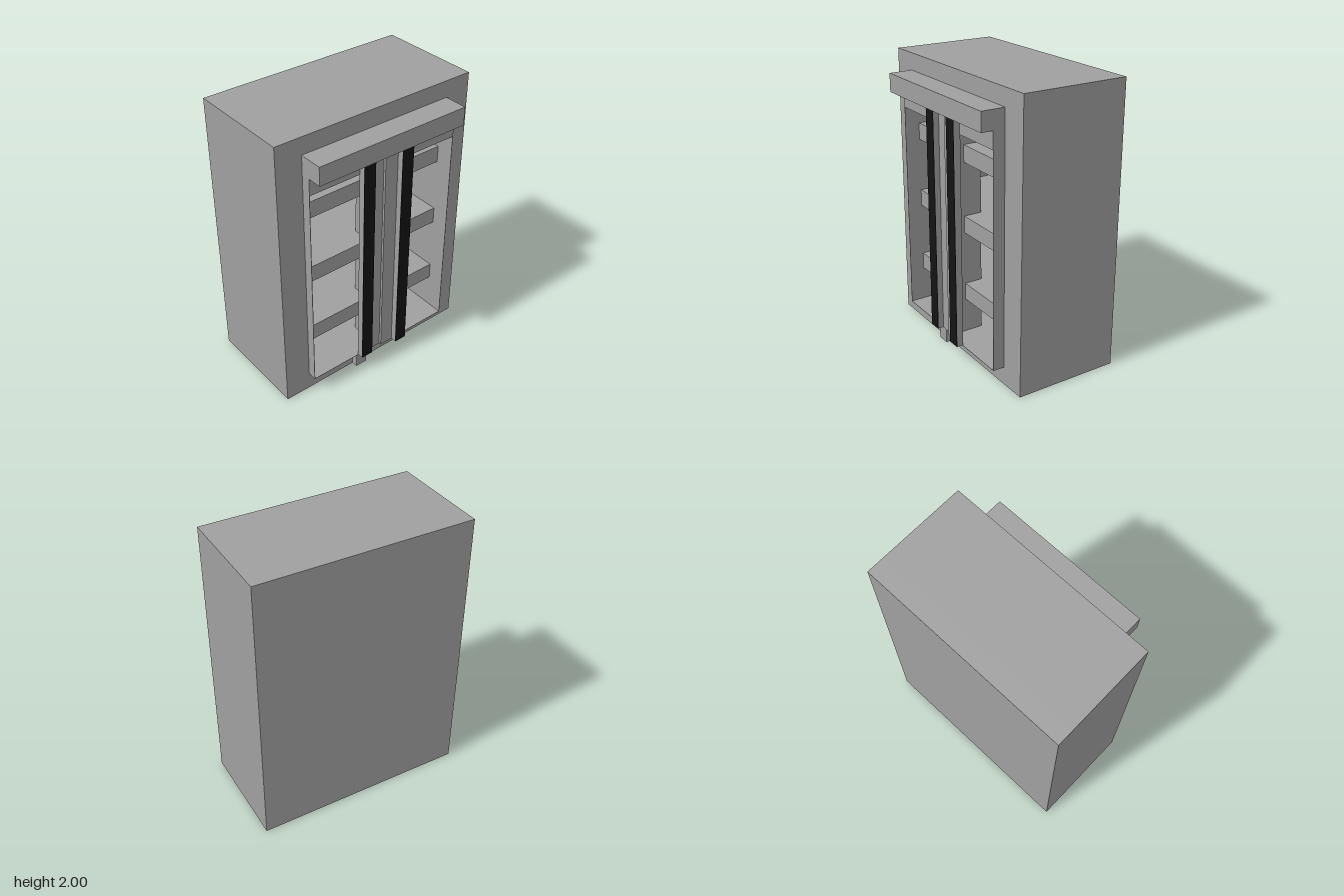
import * as THREE from 'three';

export function createModel() {
  const model = new THREE.Group();
  const grey = new THREE.MeshStandardMaterial({ color: 0xa0a0a0, flatShading: true });
  const black = new THREE.MeshStandardMaterial({ color: 0x141414, flatShading: true });

  // Box given by its limits on each axis
  const box = (name, [x0, x1], [y0, y1], [z0, z1], material = grey) => {
    const g = new THREE.BoxGeometry(x1 - x0, y1 - y0, z1 - z0);
    g.translate((x0 + x1) / 2, (y0 + y1) / 2, (z0 + z1) / 2);
    const mesh = new THREE.Mesh(g, material);
    mesh.name = name;
    model.add(mesh);
  };

  // Rectangle in the side plane
  const rect = (path, half, y0, y1) =>
    path.moveTo(-half, y0).lineTo(half, y0).lineTo(half, y1).lineTo(-half, y1).closePath();

  const face = 0.292;
  const back = -0.34;
  const height = [0.13, 1.75];
  const inside = [-0.57, 0.57];

  // Hollow cabinet with a closed back and an opening on the +x side
  const outline = rect(new THREE.Shape(), 0.76, 0, 2);
  outline.holes.push(rect(new THREE.Path(), 0.57, ...height));
  const shellGeometry = new THREE.ExtrudeGeometry(outline, { depth: face - back, bevelEnabled: false });
  shellGeometry.rotateY(Math.PI / 2).translate(back, 0, 0);
  const shell = new THREE.Mesh(shellGeometry, grey);
  shell.name = 'cabinetShell';
  model.add(shell);
  box('cabinetBack', [-0.462, back], [0, 2], [-0.76, 0.76]);

  // Overhanging header
  box('header', [face, 0.46], [1.75, 1.88], [-0.573, 0.573]);

  // Shelves
  for (const y of [0.38, 0.88, 1.38]) box('shelf', [back, 0.25], [y, y + 0.12], inside);

  // Central upright behind the doors
  box('centrePost', [0.12, 0.32], height, [-0.03, 0.03]);

  // Two framed door leaves, one slightly in front of the other
  for (const [side, front, stileFront] of [[1, 0.357, 0.4], [-1, 0.375, 0.42]]) {
    const span = (a, b) => (side > 0 ? [a, b] : [-b, -a]);
    const depth = [face, front];
    box('leafSide', depth, height, span(0.57, 0.573));
    box('leafSill', depth, [0.127, 0.13], span(0, 0.573));
    box('leafLintel', depth, [1.63, 1.75], span(0.1, 0.57));
    box('leafPanel', [front - 0.05, front], height, span(0, 0.1));
    box('leafStile', [front - 0.005, stileFront - 0.003], height, span(0.1, 0.19));
    box('leafBlackStrip', [stileFront - 0.003, stileFront], height, span(0.1, 0.19), black);
  }

  // Small foot below the doors
  box('doorFoot', [face, 0.335], [0, 0.127], [0.1, 0.19]);

  return model;
}
